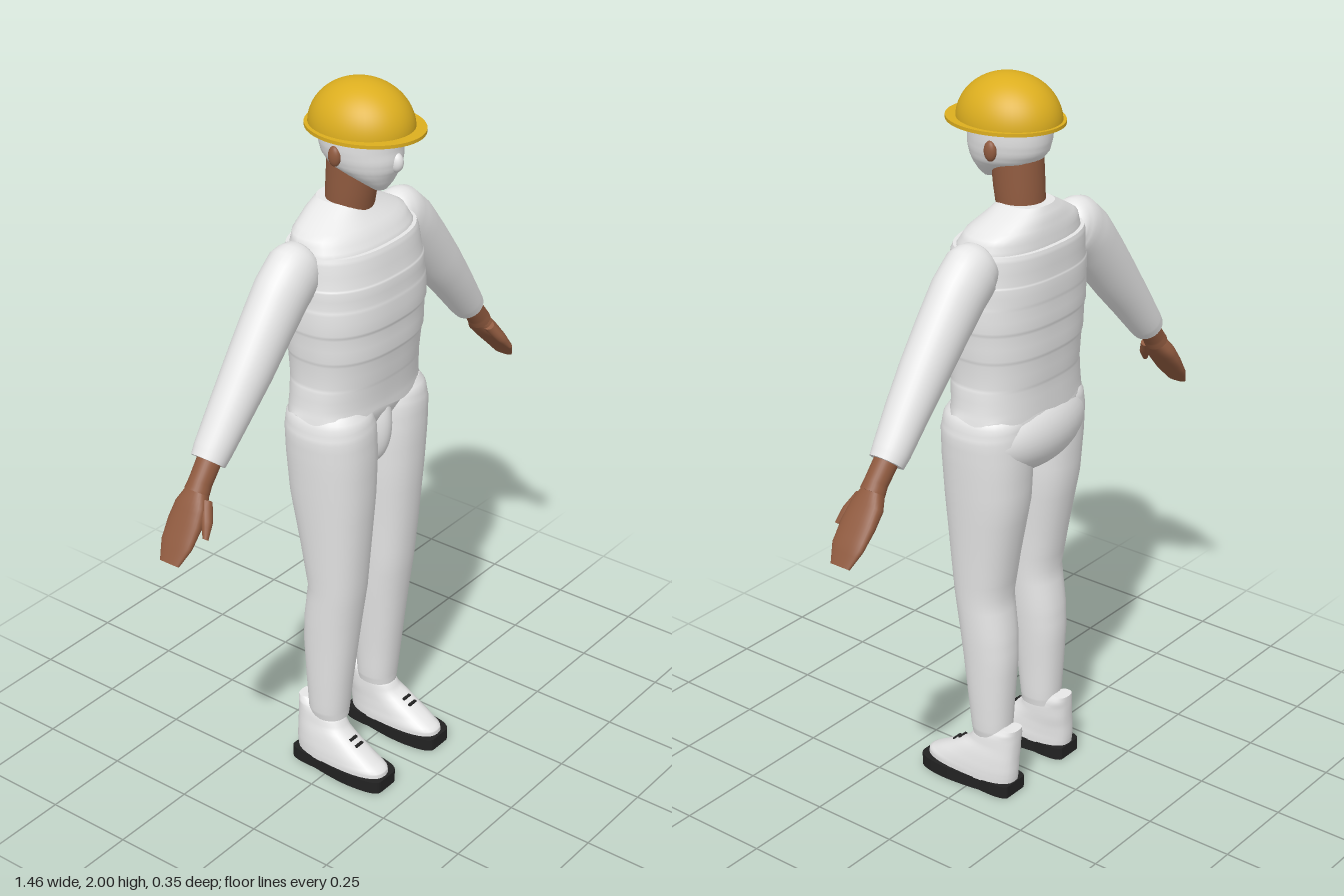
import * as THREE from 'three';

const mat = (name, color) => {
  const m = new THREE.MeshStandardMaterial({ color });
  m.name = name;
  return m;
};

// Smooth tube through oval sections [x, y, z, radiusInPlane, radiusZ]; the path lies in the xy plane.
function loft(sections, { n = 32, power = 2, steps = 3, wave = 0 } = {}) {
  const rows = [];
  for (let i = 0; i < sections.length - 1; i++) {
    for (let s = 0; s < steps; s++) {
      const t = s / steps;
      rows.push(sections[i].map((v, k) => THREE.MathUtils.lerp(v, sections[i + 1][k], t)));
    }
  }
  rows.push(sections[sections.length - 1]);
  const pos = [], idx = [];
  rows.forEach(([x, y, z, ra, rb], i) => {
    const a = rows[Math.max(0, i - 1)], b = rows[Math.min(rows.length - 1, i + 1)];
    const len = Math.hypot(b[0] - a[0], b[1] - a[1]) || 1;
    const tx = (b[0] - a[0]) / len, ty = (b[1] - a[1]) / len;
    for (let j = 0; j < n; j++) {
      const th = (j / n) * Math.PI * 2, c = Math.cos(th), s = Math.sin(th);
      const u = Math.sign(c) * Math.abs(c) ** (2 / power) * ra;
      const v = Math.sign(s) * Math.abs(s) ** (2 / power) * rb;
      const ripple = i === 0 ? wave * Math.sin(th * 8) : 0;
      pos.push(x + ty * u, y - tx * u + ripple, z + v);
    }
  });
  for (let i = 0; i < rows.length - 1; i++) {
    for (let j = 0; j < n; j++) {
      const a = i * n + j, b = i * n + ((j + 1) % n), c = b + n, d = a + n;
      idx.push(a, d, b, b, d, c);
    }
  }
  // end caps with their own vertices, so the rims stay crisp
  [0, rows.length - 1].forEach((r, end) => {
    const base = pos.length / 3;
    for (let j = 0; j < n * 3; j++) pos.push(pos[r * n * 3 + j]);
    pos.push(rows[r][0], rows[r][1], rows[r][2]);
    for (let j = 0; j < n; j++) {
      const a = base + j, b = base + ((j + 1) % n);
      if (end) idx.push(base + n, b, a);
      else idx.push(base + n, a, b);
    }
  });
  const g = new THREE.BufferGeometry();
  g.setAttribute('position', new THREE.Float32BufferAttribute(pos, 3));
  g.setIndex(idx);
  g.computeVertexNormals();
  return g;
}

// Upright section from height, centre x, half width, front z and back z
const up = (y, x, hw, zf, zb) => [x, y, (zf + zb) / 2, hw, (zf - zb) / 2];

export function createModel() {
  const root = new THREE.Group();
  const white = mat('white cloth', 0xe6e6e6);
  const skin = mat('brown skin', 0x8f5a3f);
  const yellow = mat('helmet yellow', 0xdcae1f);
  const black = mat('sole black', 0x222222);

  const add = (parent, name, geometry, material) => {
    const m = new THREE.Mesh(geometry, material);
    m.name = name;
    parent.add(m);
    return m;
  };
  const ball = (parent, name, material, p, r) => {
    const m = add(parent, name, new THREE.SphereGeometry(1, 32, 20), material);
    m.position.set(...p);
    m.scale.set(...r);
    return m;
  };

  const body = new THREE.Group();
  body.name = 'body';
  body.position.x = -0.01;
  root.add(body);

  // Shoulder yoke and the ribbed vest below it
  add(body, 'shoulderYoke', loft([
    up(1.5, 0, 0.195, 0.085, -0.155), up(1.58, 0, 0.195, 0.08, -0.155),
    up(1.62, 0, 0.178, 0.055, -0.15), up(1.655, 0, 0.115, 0.022, -0.142), up(1.68, 0, 0.068, 0.002, -0.13),
  ], { power: 2.4 }), white);
  add(body, 'vest', loft([
    up(1.13, 0, 0.214, 0.092, -0.155), up(1.16, 0, 0.207, 0.092, -0.155),
    up(1.21, 0, 0.203, 0.097, -0.155), up(1.225, 0, 0.199, 0.1, -0.158),
    up(1.29, 0, 0.203, 0.107, -0.162), up(1.305, 0, 0.207, 0.112, -0.166),
    up(1.37, 0, 0.211, 0.112, -0.167), up(1.385, 0, 0.215, 0.117, -0.171),
    up(1.44, 0, 0.215, 0.115, -0.171), up(1.455, 0, 0.212, 0.112, -0.173),
    up(1.5, 0, 0.212, 0.11, -0.173), up(1.508, 0, 0.208, 0.105, -0.17),
    up(1.57, 0, 0.203, 0.094, -0.17), up(1.585, 0, 0.198, 0.088, -0.166),
  ], { n: 64, power: 2.4, steps: 2, wave: 0.007 }), white);

  // Hips: seat, waist and fly
  ball(body, 'seat', white, [0, 1.06, -0.07], [0.205, 0.115, 0.107]);
  add(body, 'waist', loft([
    up(1.04, 0, 0.17, 0.05, -0.15), up(1.11, 0, 0.207, 0.078, -0.155), up(1.15, 0, 0.203, 0.08, -0.15),
  ], { power: 2.4 }), white);
  ball(body, 'fly', white, [0, 1.06, 0.02], [0.045, 0.125, 0.065]);

  // Neck and masked head
  add(body, 'neck', loft([
    up(1.64, 0, 0.063, 0.014, -0.108), up(1.71, 0, 0.064, 0.028, -0.107), up(1.8, 0, 0.063, 0.04, -0.103),
  ]), skin);
  add(body, 'head', loft([
    up(1.726, 0, 0.02, 0.068, 0.035), up(1.745, 0, 0.043, 0.082, 0.0), up(1.765, 0, 0.064, 0.092, -0.045),
    up(1.785, 0, 0.08, 0.102, -0.098), up(1.81, 0, 0.089, 0.107, -0.118),
    up(1.84, 0, 0.094, 0.106, -0.126), up(1.89, 0, 0.096, 0.11, -0.13),
  ]), white);
  ball(body, 'nose', white, [0, 1.806, 0.1], [0.017, 0.026, 0.02]);

  // Helmet: half dome and a brim that is widest at the front
  const dome = add(body, 'helmetDome', new THREE.SphereGeometry(1, 48, 20, 0, Math.PI * 2, 0, Math.PI / 2), yellow);
  dome.position.set(0, 1.88, -0.007);
  dome.scale.set(0.123, 0.12, 0.142);
  add(body, 'helmetBrim', loft([
    up(1.876, 0, 0.137, 0.166, -0.157), up(1.885, 0, 0.137, 0.166, -0.157),
  ], { n: 48, steps: 1 }), yellow);

  // Sole outline, drawn with the toe towards -y so that it turns to +z
  const outline = new THREE.Shape();
  outline.moveTo(-0.036, 0.128);
  outline.quadraticCurveTo(-0.056, 0.12, -0.052, 0.04);
  outline.quadraticCurveTo(-0.066, -0.06, -0.058, -0.11);
  outline.quadraticCurveTo(-0.052, -0.172, -0.03, -0.176);
  outline.lineTo(0.03, -0.176);
  outline.quadraticCurveTo(0.056, -0.172, 0.062, -0.11);
  outline.quadraticCurveTo(0.068, -0.06, 0.052, 0.04);
  outline.quadraticCurveTo(0.056, 0.12, 0.036, 0.128);
  const soleGeo = new THREE.ExtrudeGeometry(outline, { depth: 0.036, bevelEnabled: false, curveSegments: 8 });
  soleGeo.rotateX(-Math.PI / 2);

  for (const s of [-1, 1]) {
    const side = s > 0 ? 'left' : 'right';
    const flip = (rows) => rows.map(([x, ...rest]) => [s * x, ...rest]);

    ball(body, side + 'Ear', skin, [s * 0.093, 1.822, -0.02], [0.013, 0.027, 0.018]);

    // Sleeve with a rounded shoulder
    add(body, side + 'Sleeve', loft(flip([
      [0.165, 1.565, -0.055, 0.035, 0.03], [0.183, 1.56, -0.055, 0.066, 0.06],
      [0.215, 1.547, -0.055, 0.083, 0.069], [0.265, 1.505, -0.055, 0.081, 0.07],
      [0.33, 1.43, -0.055, 0.075, 0.067], [0.4, 1.345, -0.055, 0.068, 0.063],
      [0.47, 1.26, -0.057, 0.058, 0.057], [0.535, 1.178, -0.06, 0.049, 0.05],
      [0.554, 1.155, -0.06, 0.045, 0.046],
    ])), white);

    // Wrist, flat hand and thumb; the left hand reaches a little further out
    const out = s > 0 ? 0.015 : 0;
    add(body, side + 'Wrist', loft(flip([
      [0.545, 1.166, -0.058, 0.032, 0.032], [0.59, 1.112, -0.056, 0.03, 0.031],
      [0.604, 1.092, -0.056, 0.031, 0.034],
    ])), skin);
    add(body, side + 'Hand', loft(flip([
      [0.596, 1.1, -0.056, 0.024, 0.028], [0.625, 1.062, -0.056, 0.024, 0.047],
      [0.652 + out / 2, 1.025, -0.056, 0.02, 0.051], [0.685 + out, 0.98, -0.056, 0.014, 0.048],
      [0.715 + out, 0.938, -0.056, 0.007, 0.03],
    ]), { power: 2.5 }), skin);
    add(body, side + 'Thumb', loft(flip([
      [0.605, 1.08, -0.025, 0.015, 0.018], [0.632, 1.04, -0.002, 0.015, 0.017],
      [0.657, 1.005, 0.014, 0.007, 0.008],
    ]), { n: 16 }), skin);

    // Trouser leg
    const leg = (y, inner, outer, zf, zb) => up(y, s * (inner + outer) / 2, (outer - inner) / 2, zf, zb);
    add(body, side + 'TrouserLeg', loft([
      leg(0.16, 0.061, 0.158, 0.018, -0.09), leg(0.185, 0.056, 0.164, 0.02, -0.093),
      leg(0.28, 0.05, 0.17, 0.031, -0.099), leg(0.4, 0.04, 0.176, 0.046, -0.106),
      leg(0.48, 0.034, 0.18, 0.056, -0.102), leg(0.59, 0.028, 0.184, 0.071, -0.086),
      leg(0.72, 0.02, 0.194, 0.083, -0.108), leg(0.88, 0.006, 0.208, 0.096, -0.138),
      leg(1.0, 0.002, 0.217, 0.101, -0.145), leg(1.08, 0.006, 0.221, 0.1, -0.145),
      leg(1.12, 0.02, 0.214, 0.092, -0.14), leg(1.145, 0.04, 0.195, 0.075, -0.12),
    ], { power: 2.2 }), white);

    // Ankle, shoe, sole and laces
    const shoe = new THREE.Group();
    shoe.name = side + 'Shoe';
    shoe.position.x = s * 0.124;
    body.add(shoe);
    add(shoe, 'ankle', loft([up(0.1, 0, 0.037, -0.005, -0.085), up(0.18, -s * 0.01, 0.037, -0.002, -0.08)]), skin);
    add(shoe, 'shoeUpper', loft([
      up(0.034, 0, 0.056, 0.168, -0.125), up(0.05, 0, 0.056, 0.166, -0.127),
      up(0.068, 0, 0.054, 0.135, -0.128), up(0.1, -s * 0.002, 0.05, 0.08, -0.128),
      up(0.13, -s * 0.006, 0.046, 0.03, -0.129), up(0.16, -s * 0.008, 0.043, 0.01, -0.13),
      up(0.18, -s * 0.01, 0.038, -0.05, -0.13), up(0.197, -s * 0.01, 0.028, -0.09, -0.13),
    ], { power: 2.5 }), white);
    add(shoe, 'sole', soleGeo, black);
    for (const [y, z] of [[0.102, 0.077], [0.114, 0.057]]) {
      const lace = add(shoe, 'lace', new THREE.BoxGeometry(0.03, 0.005, 0.008), black);
      lace.position.set(0, y, z);
    }
  }
  return root;
}
